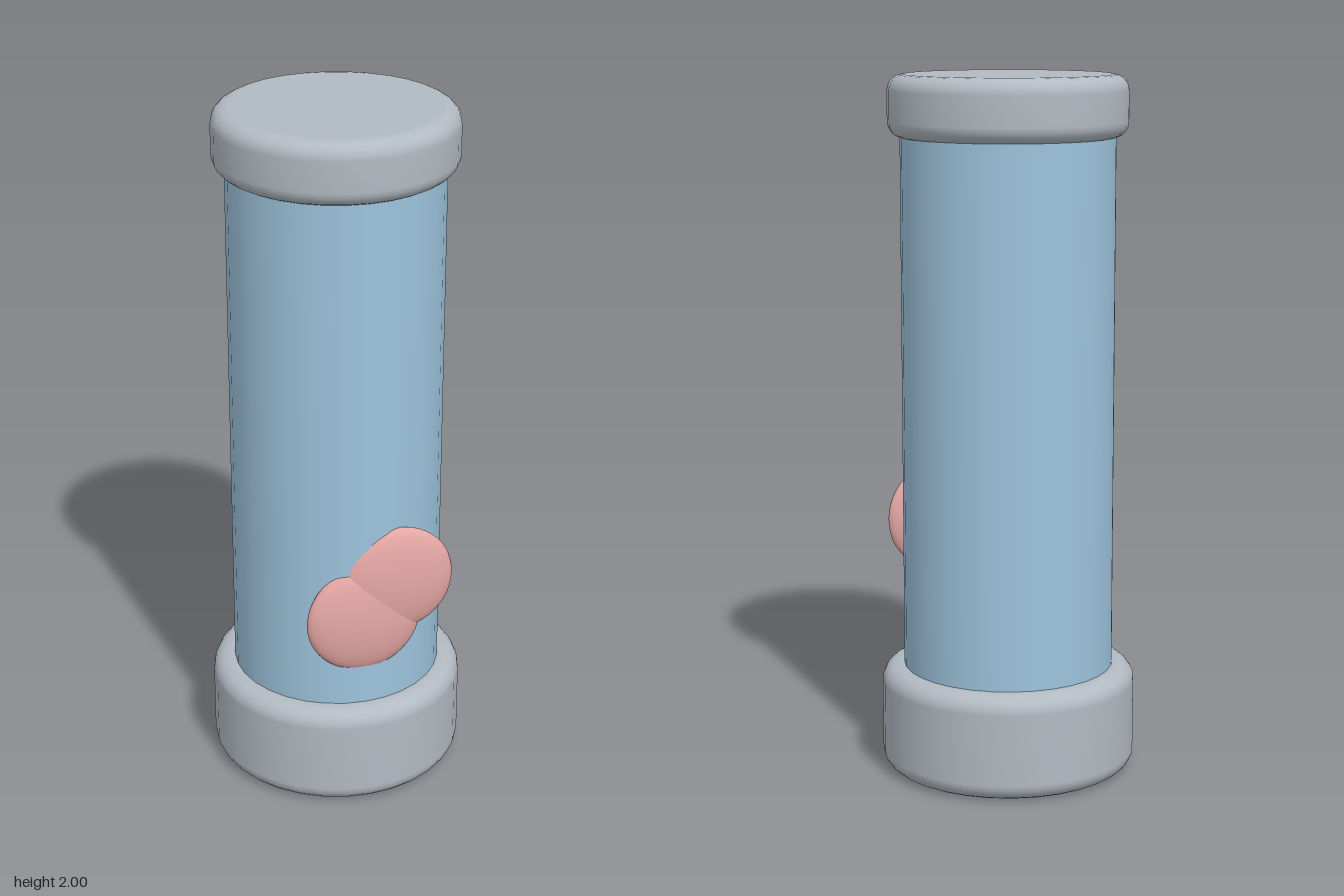
import * as THREE from 'three';

const SIDES = 32;

const material = (name, color) => {
  const m = new THREE.MeshStandardMaterial({ color });
  m.name = name;
  return m;
};

// Solid disc with rounded rims, standing on y = 0
function roundedDisc(radius, height, bevel, steps = 5) {
  const points = [new THREE.Vector2(0, 0), new THREE.Vector2(radius - bevel - 0.004, 0)];
  for (const [cy, start] of [[bevel, -Math.PI / 2], [height - bevel, 0]]) {
    for (let i = 0; i <= steps; i++) {
      const a = start + (i / steps) * Math.PI / 2;
      points.push(new THREE.Vector2(radius - bevel + Math.cos(a) * bevel, cy + Math.sin(a) * bevel));
    }
  }
  points.push(new THREE.Vector2(radius - bevel - 0.004, height), new THREE.Vector2(0, height));
  return new THREE.LatheGeometry(points, SIDES);
}

export function createModel() {
  const model = new THREE.Group();
  model.name = 'canister';

  const grey = material('pale grey', 0xb2bac2);
  const blue = material('soft blue', 0x9dc3dc);
  const pink = material('soft pink', 0xe5a7a4);

  const add = (name, geometry, mat, x, y, z) => {
    const mesh = new THREE.Mesh(geometry, mat);
    mesh.name = name;
    mesh.position.set(x, y, z);
    model.add(mesh);
    return mesh;
  };

  // End pieces
  add('base', roundedDisc(0.367, 0.305, 0.05), grey, 0, 0, 0);
  add('lid', roundedDisc(0.338, 0.175, 0.045), grey, 0, 1.825, 0);

  // Tube, its ends sunk into the base and lid
  add('tube', new THREE.CylinderGeometry(0.303, 0.303, 1.6, SIDES, 1, true), blue, 0, 1.07, 0);

  // Two overlapping flattened lobes on the front
  const lobe = new THREE.SphereGeometry(1, 32, 24);
  add('upperLobe', lobe, pink, 0.098, 0.688, 0.287).scale.set(0.16, 0.163, 0.041);
  add('lowerLobe', lobe, pink, -0.003, 0.575, 0.285).scale.set(0.167, 0.165, 0.043);

  return model;
}
